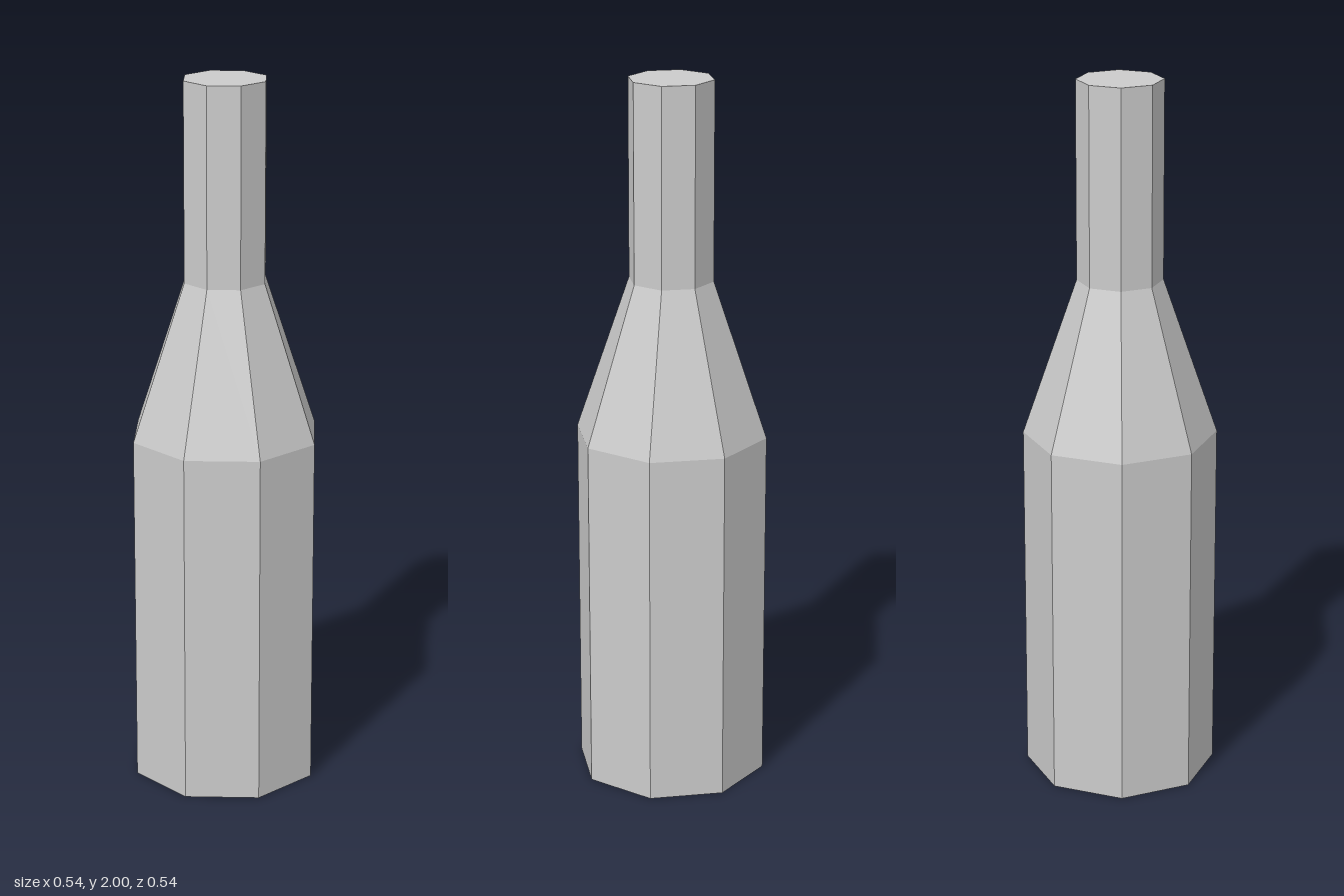
import * as THREE from 'three';

const SIDES = 8;

export function createModel() {
  const bottle = new THREE.Group();
  bottle.name = 'bottle';
  const material = new THREE.MeshStandardMaterial({ color: 0xcccccc, flatShading: true });

  // Turns a [radius, height] profile, listed from bottom to top, into an octagonal part
  const addPart = (name, profile) => {
    const points = profile.map(([r, y]) => new THREE.Vector2(r, y));
    const mesh = new THREE.Mesh(new THREE.LatheGeometry(points, SIDES), material);
    mesh.name = name;
    bottle.add(mesh);
  };

  // Closed base and straight body
  addPart('body', [[0, 0], [0.27, 0], [0.27, 1.005]]);
  // Tapering shoulder
  addPart('shoulder', [[0.27, 1.005], [0.119, 1.445]]);
  // Straight neck with a flat, closed top
  addPart('neck', [[0.119, 1.445], [0.119, 2], [0, 2]]);

  return bottle;
}
